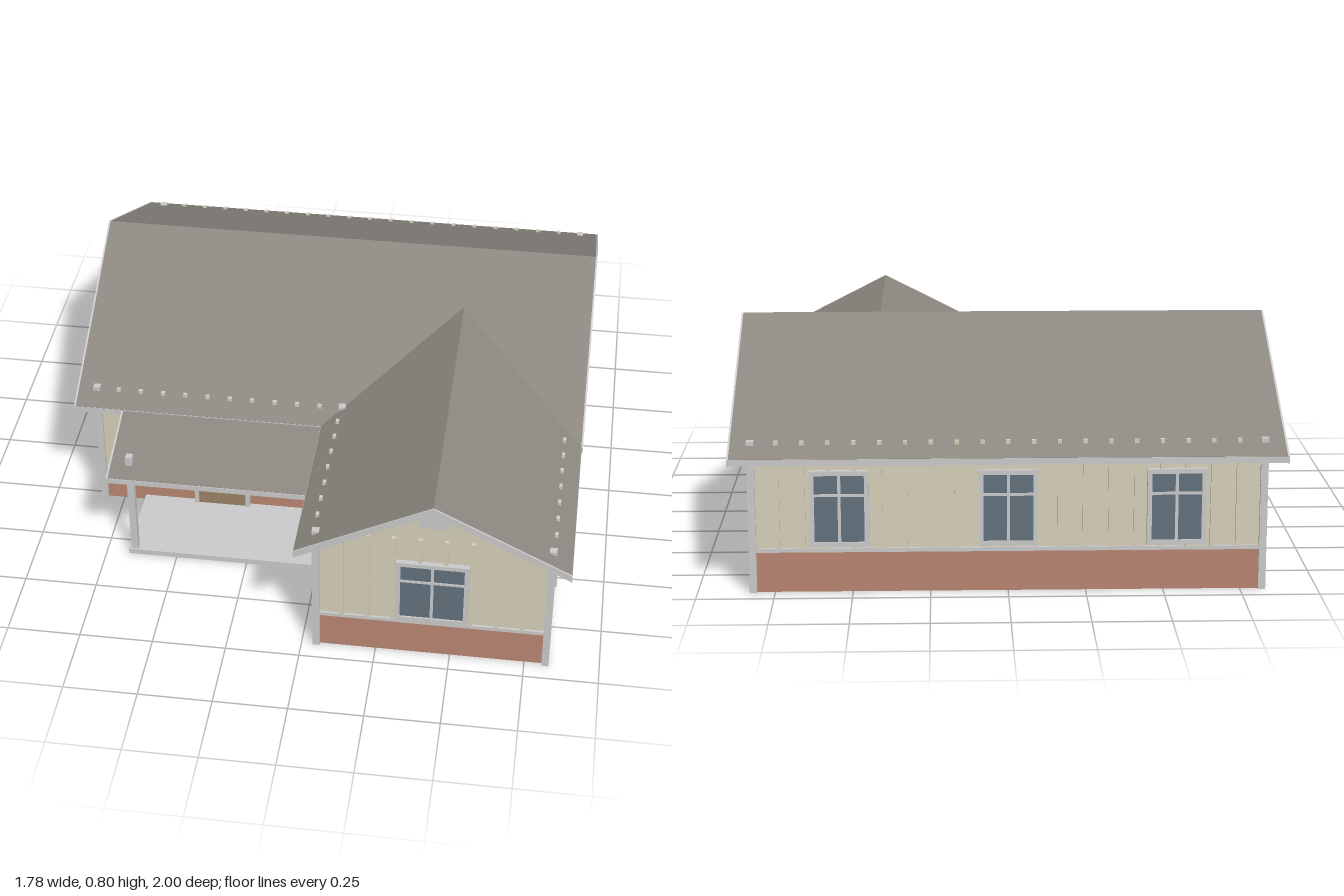
import * as THREE from 'three';

const mat = (color, side = THREE.FrontSide) => new THREE.MeshStandardMaterial({ color, side, flatShading: true });
const trim = mat(0xcccccc);
const siding = mat(0xd8d1bb, THREE.DoubleSide);
const brick = mat(0xba8674, THREE.DoubleSide);
const roofing = mat(0x8c8780);
const glass = mat(0x64737e);
const wood = mat(0x9d8468);

function add(parent, name, geometry, material, x = 0, y = 0, z = 0) {
  const mesh = new THREE.Mesh(geometry, material);
  mesh.name = name;
  mesh.position.set(x, y, z);
  parent.add(mesh);
  return mesh;
}

// Box given by its extents
function box(parent, name, material, x0, x1, y0, y1, z0, z1) {
  return add(parent, name, new THREE.BoxGeometry(x1 - x0, y1 - y0, z1 - z0), material,
    (x0 + x1) / 2, (y0 + y1) / 2, (z0 + z1) / 2);
}

const polygon = (points) => new THREE.Shape(points.map(([x, y]) => new THREE.Vector2(x, y)));

// Framed window with a cross bar, centred on x in the wall's own frame
function addWindow(wall, x, width) {
  const g = new THREE.Group();
  g.name = 'window';
  g.position.x = x;
  wall.add(g);
  const h = width / 2, f = 0.015, y0 = 0.155, y1 = 0.405;
  box(g, 'glass', glass, -h + f, h - f, y0 + f, y1 - f, -0.002, 0.012);
  for (const s of [-1, 1]) {
    const xm = s * (h - f / 2);
    box(g, 'frameSide', trim, xm - f / 2, xm + f / 2, y0, y1, -0.002, 0.018);
  }
  for (const y of [y0, y1 - f]) box(g, 'frameRail', trim, -h, h, y, y + f, -0.002, 0.018);
  box(g, 'mullion', trim, -0.005, 0.005, y0 + f, y1 - f, 0, 0.015);
  box(g, 'crossBar', trim, -h + f, h - f, 0.32, 0.329, 0, 0.015);
}

// Wall facing local +z: brick base, siding with optional gable, ledge, battens, windows
function addWall(parent, name, { x, z, turn, width, peak, windows = [], windowWidth = 0.19 }) {
  const wall = new THREE.Group();
  wall.name = name;
  wall.position.set(x, 0, z);
  wall.rotation.y = turn;
  parent.add(wall);
  const h = width / 2, base = 0.14, top = 0.478;
  add(wall, 'brickBase', new THREE.PlaneGeometry(width, base), brick, 0, base / 2, 0);
  const outline = [[-h, base], [h, base], [h, top]];
  if (peak) outline.push([0, peak]);
  outline.push([-h, top]);
  add(wall, 'siding', new THREE.ShapeGeometry(polygon(outline)), siding);
  box(wall, 'ledge', trim, -h, h, 0.134, 0.147, 0, 0.008);
  const count = Math.round(width / 0.082);
  for (let i = 1; i < count; i++) {
    const bx = -h + (i * width) / count;
    box(wall, 'batten', siding, bx - 0.007, bx + 0.007, 0.145, 0.503, 0, 0.011);
  }
  for (const wx of windows) addWindow(wall, wx, windowWidth);
  return wall;
}

// Gable roof running along local z, with rake boards and eave fascias
function addGableRoof(parent, name, half, ridge, eave, z0, z1, rakes) {
  const g = new THREE.Group();
  g.name = name;
  parent.add(g);
  const chevron = (t, depth) => new THREE.ExtrudeGeometry(polygon([
    [-half, eave], [-half, eave - t], [0, ridge - t], [half, eave - t], [half, eave], [0, ridge],
  ]), { depth, bevelEnabled: false });
  const r = 0.006;
  const start = rakes.includes(-1) ? z0 + r : z0;
  const end = rakes.includes(1) ? z1 - r : z1;
  add(g, 'shingles', chevron(0.02, end - start), roofing, 0, 0, start);
  for (const s of rakes) add(g, 'rakeBoard', chevron(0.025, r), trim, 0, 0, s < 0 ? z0 : z1 - r);
  for (const s of [-1, 1]) {
    const xm = s * (half - 0.002);
    box(g, 'fascia', trim, xm - 0.003, xm + 0.003, eave - 0.022, eave - 0.001, z0, z1);
  }
  return g;
}

export function createModel() {
  const house = new THREE.Group();
  house.name = 'house';
  const Q = Math.PI / 2;

  // Walls of the main block and the front wing
  const front = addWall(house, 'mainFrontWall', { x: -0.385, z: 0.27, turn: 0, width: 0.87 });
  const gable = addWall(house, 'wingFrontWall',
    { x: 0.435, z: 0.93, turn: 0, width: 0.77, peak: 0.672, windows: [0], windowWidth: 0.24 });
  addWall(house, 'wingLeftWall', { x: 0.82, z: 0.6, turn: Q, width: 0.66, windows: [-0.025] });
  addWall(house, 'wingRightWall', { x: 0.05, z: 0.6, turn: -Q, width: 0.66, windows: [0.02] });
  addWall(house, 'mainLeftWall', { x: 0.82, z: -0.33, turn: Q, width: 1.2, peak: 0.782, windows: [-0.335, 0.29] });
  addWall(house, 'mainRightWall', { x: -0.82, z: -0.33, turn: -Q, width: 1.2, peak: 0.782, windows: [-0.297, 0.297] });
  addWall(house, 'backWall', { x: 0, z: -0.93, turn: 2 * Q, width: 1.64, windows: [-0.54, 0, 0.54] });

  // Corner boards
  for (const [x, z] of [[0.82, -0.93], [-0.82, -0.93], [-0.82, 0.27], [0.05, 0.27], [0.05, 0.93], [0.82, 0.93]]) {
    box(house, 'cornerBoard', trim, x - 0.012, x + 0.012, 0, 0.503, z - 0.012, z + 0.012);
  }

  // Gable vent
  box(gable, 'vent', trim, -0.05, 0.05, 0.56, 0.62, 0, 0.015);

  // Front door with light and casing
  const door = new THREE.Group();
  door.name = 'frontDoor';
  front.add(door);
  box(door, 'doorLeaf', wood, -0.085, 0.085, 0.02, 0.385, -0.002, 0.015);
  box(door, 'doorGlass', glass, -0.055, 0.055, 0.265, 0.365, 0, 0.018);
  for (const s of [-1, 1]) {
    box(door, 'doorCasing', trim, s * 0.0925 - 0.0075, s * 0.0925 + 0.0075, 0.02, 0.4, -0.002, 0.02);
  }
  box(door, 'doorHead', trim, -0.1, 0.1, 0.385, 0.4, -0.002, 0.02);

  // Roofs: main ridge runs across, wing ridge runs front to back
  const main = addGableRoof(house, 'mainRoof', 0.67, 0.8, 0.46, -0.89, 0.89, [-1, 1]);
  main.rotation.y = Q;
  main.position.z = -0.33;
  const wing = addGableRoof(house, 'wingRoof', 0.45, 0.69, 0.46, -0.33, 1, [1]);
  wing.position.x = 0.435;

  // Porch: slab, post and lean-to roof
  const porch = new THREE.Group();
  porch.name = 'porch';
  house.add(porch);
  box(porch, 'porchSlab', trim, -0.67, 0.05, 0, 0.02, 0.27, 0.57);
  box(porch, 'porchPost', trim, -0.662, -0.638, 0.02, 0.43, 0.54, 0.564);
  const slope = polygon([[-0.62, 0.36], [-0.27, 0.455], [-0.27, 0.475], [-0.62, 0.38]]);
  const slab = (depth) => new THREE.ExtrudeGeometry(slope, { depth, bevelEnabled: false });
  add(porch, 'porchRoof', slab(0.764), roofing, -0.714).rotation.y = Q;
  add(porch, 'porchRakeBoard', slab(0.006), trim, -0.72).rotation.y = Q;
  box(porch, 'porchFascia', trim, -0.72, 0.05, 0.36, 0.379, 0.617, 0.623);

  return house;
}
